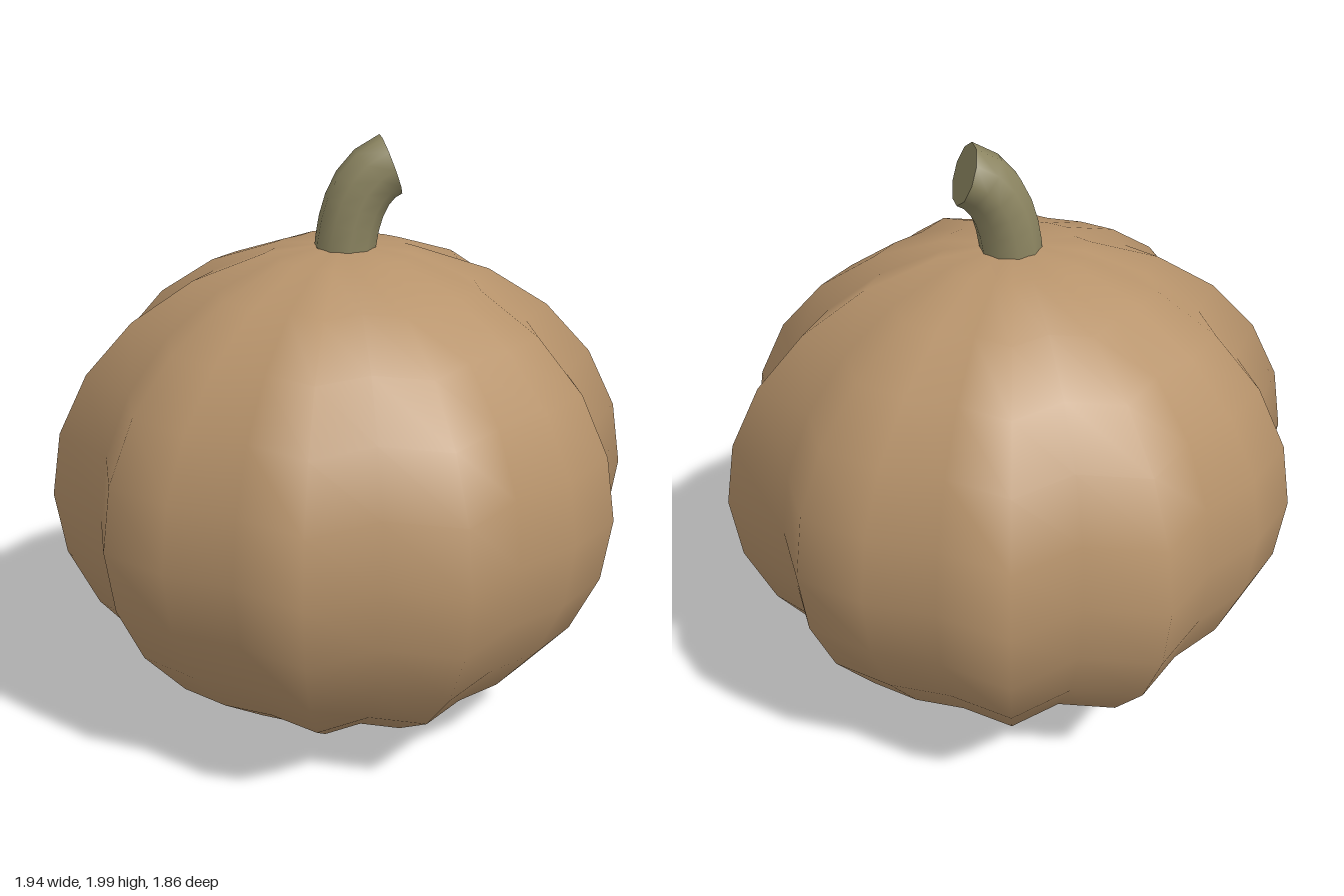
import * as THREE from 'three';
import { mergeVertices } from 'three/addons/utils/BufferGeometryUtils.js';

const bodyMat = new THREE.MeshStandardMaterial({ color: 0xb7936b });
bodyMat.name = 'gourd tan';
const stemMat = new THREE.MeshStandardMaterial({ color: 0x8c8561 });
stemMat.name = 'stem olive';

// Sphere whose horizontal radius swells and shrinks into ten ribs
function ribbedBody(radius, halfHeight, ribs, depth) {
  let geo = new THREE.SphereGeometry(1, 24, 12);
  const pos = geo.attributes.position;
  for (let i = 0; i < pos.count; i++) {
    const x = pos.getX(i), z = pos.getZ(i);
    const r = radius + depth * Math.cos(ribs * Math.atan2(z, x));
    pos.setXYZ(i, x * r, (pos.getY(i) + 1) * halfHeight, z * r);
  }
  // Weld the seam so the shading stays smooth all round
  geo.deleteAttribute('uv');
  geo.deleteAttribute('normal');
  geo = mergeVertices(geo, 1e-4);
  geo.computeVertexNormals();
  return geo;
}

export function createModel() {
  const group = new THREE.Group();
  group.name = 'pumpkin';

  const body = new THREE.Mesh(ribbedBody(0.904, 0.828, 10, 0.067), bodyMat);
  body.name = 'body';
  group.add(body);

  // Bent stem with a flat cut end
  const path = new THREE.QuadraticBezierCurve3(
    new THREE.Vector3(0.005, 1.6, 0),
    new THREE.Vector3(0.02, 1.855, 0),
    new THREE.Vector3(0.155, 1.904, 0)
  );
  const stem = new THREE.Mesh(new THREE.TubeGeometry(path, 6, 0.1, 10, false), stemMat);
  stem.name = 'stem';
  group.add(stem);

  const cut = new THREE.Mesh(new THREE.CircleGeometry(0.1, 10), stemMat);
  cut.name = 'stemEnd';
  cut.position.copy(path.getPoint(1));
  cut.lookAt(path.getPoint(1).add(path.getTangent(1)));
  group.add(cut);

  return group;
}
